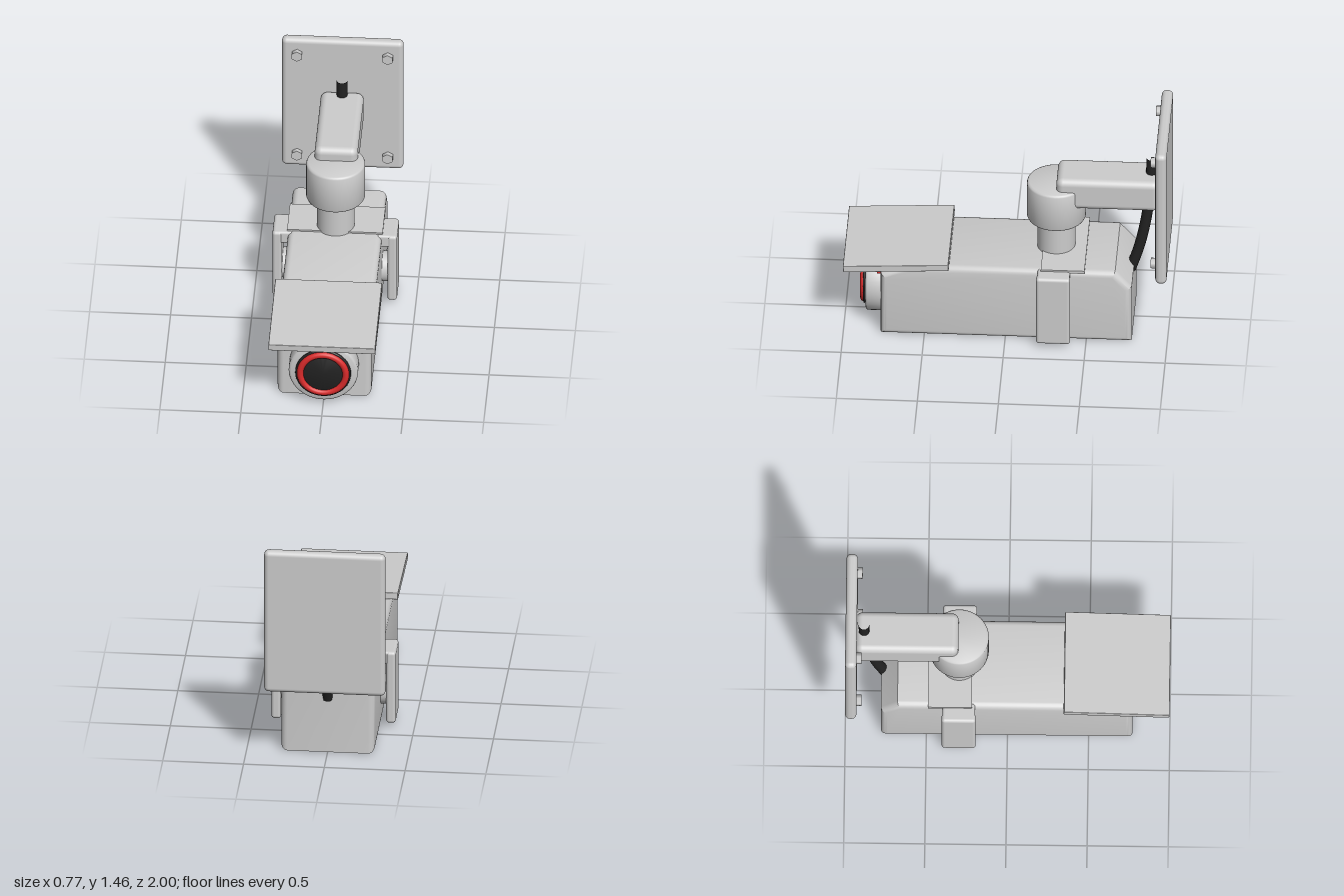
import * as THREE from 'three';
import { toCreasedNormals } from 'three/addons/utils/BufferGeometryUtils.js';
import { RoundedBoxGeometry } from 'three/addons/geometries/RoundedBoxGeometry.js';

const mat = (name, color) => {
  const m = new THREE.MeshStandardMaterial({ color });
  m.name = name;
  return m;
};

export function createModel() {
  const grey = mat('grey casing', 0xcccccc);
  const black = mat('black rubber', 0x222222);
  const red = mat('red light', 0xd92b2b);
  const model = new THREE.Group();
  model.name = 'securityCamera';

  const add = (name, geometry, material, x = 0, y = 0, z = 0) => {
    const mesh = new THREE.Mesh(geometry, material);
    mesh.name = name;
    mesh.position.set(x, y, z);
    model.add(mesh);
    return mesh;
  };
  // Rounded box given by its limits on each axis
  const block = (name, [x0, x1], [y0, y1], [z0, z1], r) =>
    add(name, new RoundedBoxGeometry(x1 - x0, y1 - y0, z1 - z0, 4, r), grey,
      (x0 + x1) / 2, (y0 + y1) / 2, (z0 + z1) / 2);
  // Upright disc or drum with softened rims, base at y = 0
  const drum = (radius, height, b) => {
    const pts = [[0, 0], [radius - b, 0], [radius - b * 0.3, b * 0.3], [radius, b],
      [radius, height - b], [radius - b * 0.3, height - b * 0.3], [radius - b, height], [0, height]];
    const lathe = new THREE.LatheGeometry(pts.map(p => new THREE.Vector2(...p)), 48);
    return toCreasedNormals(lathe, 0.8);
  };

  // Camera body: side profile (z, y) with sloped top corners, bevelled all round
  const profile = new THREE.Shape([[-0.74, 0.04], [0.73, 0.04], [0.73, 0.415], [0.59, 0.475],
    [-0.66, 0.475], [-0.74, 0.385]].map(p => new THREE.Vector2(...p)));
  const bodyGeo = new THREE.ExtrudeGeometry(profile, {
    depth: 0.5, bevelSize: 0.04, bevelThickness: 0.04, bevelSegments: 5,
  });
  bodyGeo.translate(0, 0, -0.25).rotateY(-Math.PI / 2);
  add('body', toCreasedNormals(bodyGeo, 0.5), grey);

  // Lens assembly
  const lensY = 0.24;
  add('lensHousing', drum(0.214, 0.13, 0.015).rotateX(Math.PI / 2), grey, 0, lensY, 0.74);
  add('lensRim', drum(0.172, 0.035, 0.004).rotateX(Math.PI / 2), black, 0, lensY, 0.85);
  add('lensRing', new THREE.TorusGeometry(0.141, 0.021, 14, 56), red, 0, lensY, 0.884);
  add('lensGlass', drum(0.125, 0.02, 0.004).rotateX(Math.PI / 2), black, 0, lensY, 0.87);
  add('statusLight', new THREE.BoxGeometry(0.052, 0.052, 0.03), red, 0.214, 0.445, 0.78);

  // Tilted sun visor
  const visor = add('visor', new RoundedBoxGeometry(0.66, 0.045, 0.652, 2, 0.005), grey, 0, 0.521, 0.673);
  visor.rotation.x = 0.054;

  // Clamp saddle and side arms
  add('saddlePlate', new THREE.BoxGeometry(0.59, 0.02, 0.27), grey, 0, 0.516, -0.355);
  for (const s of [-1, 1]) {
    const side = s > 0 ? 'left' : 'right';
    const span = (a, b) => (s > 0 ? [a, b] : [-b, -a]);
    block(side + 'ClampArm', span(0.325, 0.385), [0.03, 0.515], [-0.405, -0.195], 0.02);
    block(side + 'ClampTab', span(0.26, 0.36), [0.43, 0.515], [-0.4, -0.2], 0.015);
    add(side + 'Pivot', new THREE.CylinderGeometry(0.095, 0.095, 0.08, 40).rotateZ(Math.PI / 2),
      grey, s * 0.3, 0.22, -0.3);
  }

  // Swivel neck, collar and wall arm
  add('neck', new THREE.CylinderGeometry(0.117, 0.117, 0.25, 48), grey, 0, 0.625, -0.3);
  add('collar', drum(0.182, 0.263, 0.015), grey, 0, 0.735, -0.3);
  block('wallArm', [-0.133, 0.133], [0.867, 1.08], [-0.94, -0.305], 0.042);

  // Wall plate with four hexagonal bolts
  block('wallPlate', [-0.375, 0.375], [0.495, 1.455], [-1, -0.93], 0.03);
  for (const x of [-0.28, 0.28]) {
    for (const y of [0.595, 1.348]) {
      add('bolt', new THREE.CylinderGeometry(0.036, 0.036, 0.04, 6).rotateX(Math.PI / 2), grey, x, y, -0.919);
    }
  }

  // Cable running through the arm into the back of the body
  const path = new THREE.CatmullRomCurve3([[1.19, -0.888], [1.03, -0.885], [0.87, -0.871],
    [0.7, -0.848], [0.53, -0.812], [0.36, -0.76]].map(([y, z]) => new THREE.Vector3(0, y, z)));
  add('cable', new THREE.TubeGeometry(path, 32, 0.033, 16), black);

  return model;
}
